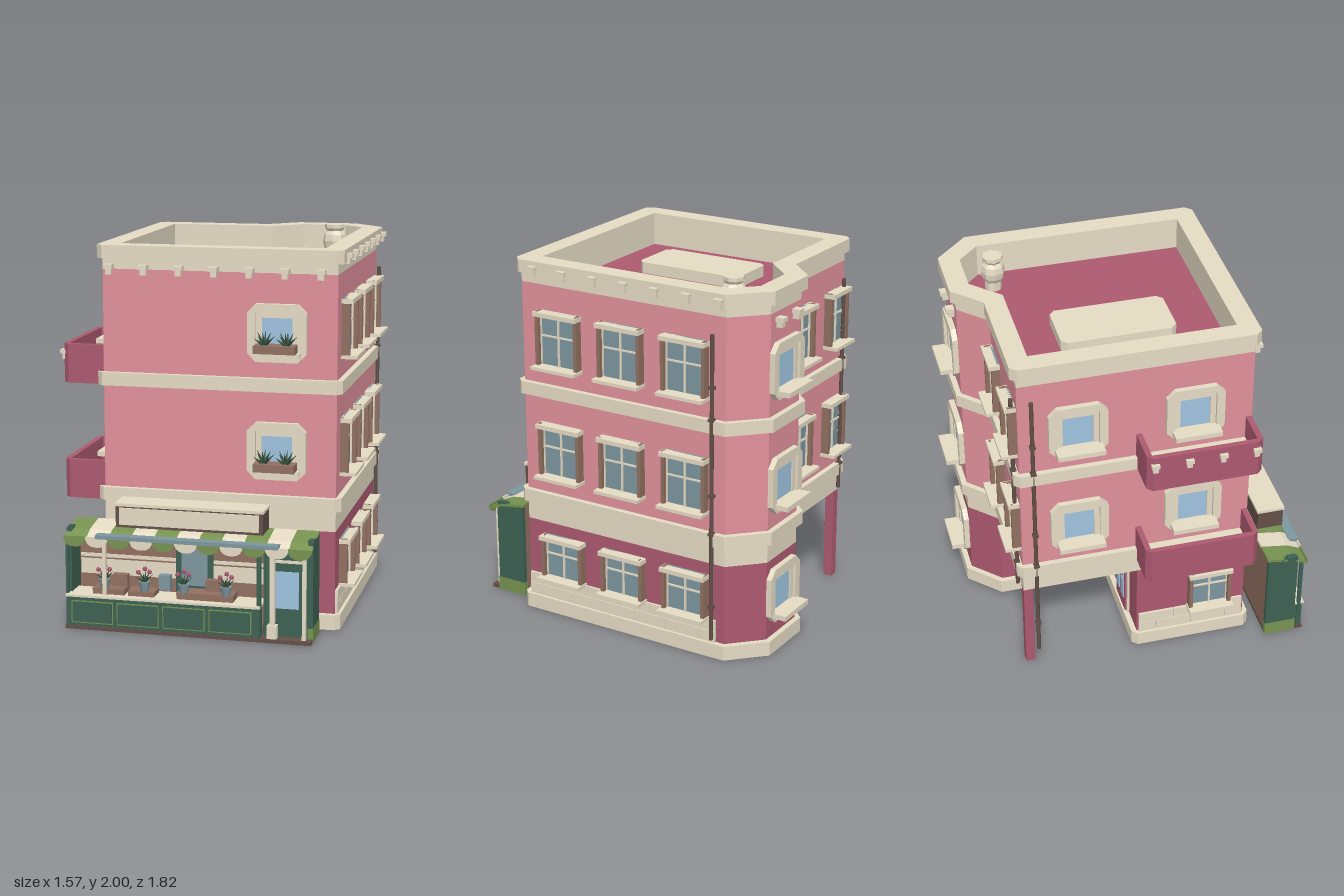
import * as THREE from 'three';

const mat = (name, color) => {
  const m = new THREE.MeshStandardMaterial({ color });
  m.name = name;
  return m;
};
const M = {
  pink: mat('pinkWall', 0xe2919c), cream: mat('creamStone', 0xe6dcc5), red: mat('darkRedWall', 0xad5a70),
  green: mat('darkGreenPaint', 0x3d6152), olive: mat('oliveGreen', 0x789351), grey: mat('greyGlass', 0x7d969f),
  sky: mat('blueGlass', 0xa0c5e0), brown: mat('brownWood', 0x917061), dark: mat('darkBrown', 0x635048),
  leaf: mat('leafGreen', 0x38543f),
};

const add = (parent, name, geo, material) => {
  const m = new THREE.Mesh(geo, material);
  m.name = name;
  parent.add(m);
  return m;
};
const group = (parent, name, x = 0, y = 0, z = 0, ry = 0) => {
  const g = new THREE.Group();
  g.name = name;
  g.position.set(x, y, z);
  g.rotation.y = ry;
  parent.add(g);
  return g;
};
const box = (p, name, m, x0, x1, y0, y1, z0, z1) =>
  add(p, name, new THREE.BoxGeometry(x1 - x0, y1 - y0, z1 - z0)
    .translate((x0 + x1) / 2, (y0 + y1) / 2, (z0 + z1) / 2), m);

// Upright prism from an [x, z] outline, with an optional hole
function prism(p, name, m, pts, y0, y1, hole) {
  const v = (a) => {
    const q = a.map(([x, z]) => new THREE.Vector2(x, -z));
    return THREE.ShapeUtils.isClockWise(q) ? q.reverse() : q;
  };
  const s = new THREE.Shape(v(pts));
  if (hole) s.holes.push(new THREE.Path(v(hole)));
  const g = new THREE.ExtrudeGeometry(s, { depth: y1 - y0, bevelEnabled: false });
  return add(p, name, g.rotateX(-Math.PI / 2).translate(0, y0, 0), m);
}
// Rectangle outline with cut corners
const cutRect = (x0, x1, z0, z1, c) => [[x0 + c, z0], [x1 - c, z0], [x1, z0 + c], [x1, z1 - c],
  [x1 - c, z1], [x0 + c, z1], [x0, z1 - c], [x0, z0 + c]];

// House outline grown by d, with front corners cut by c
const frontAndBump = (d, c) => [[0.23 - 0.41 * d, -0.81 - d], [0.54 + 0.41 * d, -0.81 - d],
  [0.7 + d, -0.65 - 0.41 * d], [0.7 + d, 0.585 + d - c], [0.7 + d - c, 0.585 + d],
  [-0.54 - d + c, 0.585 + d], [-0.54 - d, 0.585 + d - c]];
const outline = (d, c = 0.002) => [[-0.54 - d, -0.66 - d + c], [-0.54 - d + c, -0.66 - d],
  [0.08 - 0.41 * d, -0.66 - d], ...frontAndBump(d, c)];
// Ground floor outline, open at the back corner for the porch
const PORCH_Z = -0.03;
const groundOutline = (d, c = 0.002) => [[-0.54 - d, PORCH_Z - d + c], [-0.54 - d + c, PORCH_Z - d],
  [0.08 - d, PORCH_Z - d], [0.08 - d, -0.66 - 0.41 * d], ...frontAndBump(d, c)];

// Casement window facing +z, centred on its wall point
function casement(p, x, y, z, ry, w, h) {
  const g = group(p, 'casementWindow', x, y, z, ry), a = w / 2, b = h / 2;
  box(g, 'glass', M.grey, -a + 0.012, a - 0.012, -b, b, 0, 0.012);
  for (const s of [-1, 1]) {
    const c = s * (a - 0.01);
    box(g, 'frameSide', M.brown, c - 0.01, c + 0.01, -b, b, 0, 0.045);
    box(g, 'sash', M.cream, c - s * 0.012 - 0.003, c - s * 0.012 + 0.003, -b, b, 0, 0.022);
  }
  box(g, 'mullion', M.cream, -0.005, 0.005, -b, b, 0.01, 0.02);
  box(g, 'crossBar', M.cream, -a + 0.02, a - 0.02, 0.018, 0.027, 0.01, 0.02);
  box(g, 'lintel', M.cream, -a - 0.004, a + 0.004, b - 0.024, b, 0, 0.06);
  box(g, 'sill', M.cream, -a - 0.006, a + 0.006, -b, -b + 0.018, 0, 0.085);
}

// Thick picture-frame window facing +z
function framedWindow(p, x, y, z, ry, planter) {
  const g = group(p, 'framedWindow', x, y, z, ry);
  const toVec = (a) => a.map((q) => new THREE.Vector2(...q));
  const frame = (name, w, h, c, hw, h0, h1, depth) => {
    const s = new THREE.Shape(toVec(cutRect(-w / 2, w / 2, -h / 2, h / 2, c)));
    s.holes.push(new THREE.Path(toVec([[-hw, h0], [hw, h0], [hw, h1], [-hw, h1]])));
    add(g, name, new THREE.ExtrudeGeometry(s, { depth, bevelEnabled: false }), M.cream);
  };
  frame('outerFrame', 0.31, 0.3, 0.045, 0.11, -0.1, 0.105, 0.03);
  frame('innerFrame', 0.23, 0.23, 0.004, 0.08, -0.095, 0.078, 0.014);
  box(g, 'glass', M.sky, -0.085, 0.085, -0.1, 0.08, 0, 0.006);
  box(g, 'sill', M.cream, -0.125, 0.125, -0.122, -0.095, 0, planter ? 0.06 : 0.1);
  if (!planter) return;
  box(g, 'planter', M.brown, -0.108, 0.108, -0.096, -0.055, 0.01, 0.105);
  for (const px of [-0.058, 0.058]) plant(g, px, -0.062, 0.058, 0.085);
}

// Fan of pointed leaves
function plant(p, x, y, z, size) {
  const g = group(p, 'plant', x, y, z);
  for (let i = 0; i < 8; i++) {
    const leaf = add(g, 'leaf', new THREE.ConeGeometry(size * 0.13, size, 4).translate(0, size / 2, 0), M.leaf);
    leaf.rotation.set(0, i * 0.785, i % 2 ? 0.95 : 0.45);
  }
}

function pottedFlower(p, x, y, z) {
  const g = group(p, 'flowerPot', x, y, z);
  add(g, 'pot', new THREE.CylinderGeometry(0.03, 0.02, 0.06, 10).translate(0, 0.03, 0), M.grey);
  plant(g, 0, 0.055, 0, 0.065);
  for (const [a, b, c] of [[-0.03, 0.11, 0.01], [0.03, 0.115, 0.01], [0, 0.125, -0.01]])
    add(g, 'flower', new THREE.IcosahedronGeometry(0.014, 0).translate(a, b, c), M.red);
}

function drainPipe(p, x, z, y0) {
  add(p, 'drainPipe', new THREE.CylinderGeometry(0.011, 0.011, 1.765 - y0, 8).translate(x, (1.765 + y0) / 2, z), M.dark);
  for (const y of [0.28, 0.69, 0.9, 1.31, 1.48])
    if (y > y0) box(p, 'pipeClip', M.dark, x - 0.015, x + 0.015, y, y + 0.015, z - 0.015, z + 0.015);
}

// Two courses of stone blocks running along z on a side wall
function stoneCourses(p, x, z0, z1) {
  for (const [y0, y1, shift] of [[0.08, 0.1425, 0.1], [0.1455, 0.205, 0]])
    for (let z = z0 - shift; z < z1; z += 0.2) {
      const a = Math.max(z, z0), b = Math.min(z + 0.197, z1);
      if (b - a > 0.02) box(p, 'stoneBlock', M.cream, x - 0.014, x + 0.014, y0, y1, a, b);
    }
}

function kiosk(p) {
  const g = group(p, 'shopKiosk');
  box(g, 'floor', M.dark, -0.67, 0.635, 0, 0.02, 0.68, 0.9);
  box(g, 'backPanel', M.brown, -0.645, 0.61, 0.02, 0.53, 0.682, 0.7);
  box(g, 'backWallStripe', M.cream, -0.64, 0.36, 0.25, 0.36, 0.7, 0.706);
  box(g, 'backWallLine', M.brown, -0.64, 0.36, 0.335, 0.342, 0.706, 0.711);
  box(g, 'rearDoor', M.green, -0.12, 0.08, 0.18, 0.45, 0.7, 0.712);
  box(g, 'rearDoorGlass', M.grey, -0.09, 0.05, 0.22, 0.42, 0.712, 0.716);
  for (const [a, b] of [[-0.67, -0.645], [0.61, 0.635]]) {
    box(g, 'sidePanel', M.green, a, b, 0.075, 0.53, 0.68, 0.85);
    box(g, 'sidePanelFoot', M.olive, a - 0.002, b + 0.002, 0, 0.075, 0.678, 0.855);
  }
  // counter with outlined panels
  box(g, 'counter', M.green, -0.66, 0.365, 0.02, 0.175, 0.82, 0.895);
  box(g, 'counterTop', M.cream, -0.665, 0.37, 0.175, 0.187, 0.74, 0.905);
  for (let i = 0; i < 4; i++) {
    const x = -0.635 + i * 0.245;
    box(g, 'panelOutline', M.olive, x, x + 0.225, 0.035, 0.155, 0.895, 0.898);
    box(g, 'panelFace', M.green, x + 0.006, x + 0.219, 0.041, 0.149, 0.895, 0.901);
  }
  for (const [x, w, m] of [[-0.66, 0.007, M.green], [-0.46, 0.01, M.cream], [0.36, 0.011, M.green], [0.43, 0.013, M.cream], [0.595, 0.01, M.cream]])
    box(g, 'post', m, x - w, x + w, 0.02, 0.49, 0.865, 0.885);
  box(g, 'postFoot', M.cream, 0.405, 0.455, 0.02, 0.09, 0.855, 0.895);
  // shop door
  box(g, 'door', M.green, 0.375, 0.61, 0.02, 0.5, 0.815, 0.84);
  box(g, 'doorGlass', M.sky, 0.437, 0.56, 0.17, 0.365, 0.84, 0.845);
  box(g, 'doorTransom', M.cream, 0.41, 0.59, 0.41, 0.425, 0.84, 0.846);
  // goods on the counter
  for (const [a, b, h] of [[-0.53, -0.36, 0.03], [-0.34, -0.2, 0.025], [-0.08, 0.22, 0.035]])
    box(g, 'displayTray', M.brown, a, b, 0.187, 0.187 + h, 0.76, 0.86);
  for (const x of [-0.47, -0.255, -0.045, 0.18]) pottedFlower(g, x, 0.205, 0.84);
  for (const x of [-0.4, 0.1]) box(g, 'crate', M.brown, x - 0.04, x + 0.04, 0.21, 0.28, 0.76, 0.8);
  box(g, 'basket', M.grey, -0.19, -0.13, 0.21, 0.29, 0.76, 0.8);
  // striped awning with scalloped edge
  const w = 1.305 / 11;
  const prof = [[0.675, 0.53], [0.82, 0.508], [0.9, 0.475], [0.908, 0.484], [0.825, 0.522], [0.675, 0.545]];
  const stripe = new THREE.ExtrudeGeometry(new THREE.Shape(prof.map((q) => new THREE.Vector2(...q))), { depth: w, bevelEnabled: false })
    .rotateY(-Math.PI / 2).translate(w, 0, 0);
  const lip = new THREE.Shape();
  lip.moveTo(0, 0.02).lineTo(0, 0.005).quadraticCurveTo(0.01, -0.035, w / 2, -0.035)
    .quadraticCurveTo(w - 0.01, -0.035, w, 0.005).lineTo(w, 0.02);
  const scallop = new THREE.ExtrudeGeometry(lip, { depth: 0.008, bevelEnabled: false, curveSegments: 6 });
  for (let i = 0; i < 11; i++) {
    const m = i % 2 ? M.cream : M.olive, x = -0.67 + i * w;
    add(g, 'awningStripe', stripe, m).position.x = x;
    add(g, 'awningScallop', scallop, m).position.set(x, 0.482, 0.9);
  }
  box(g, 'awningRail', M.grey, -0.5, 0.465, 0.494, 0.513, 0.855, 0.911);
  for (const x of [-0.655, 0.62]) box(g, 'lamp', M.green, x - 0.015, x + 0.015, 0.49, 0.535, 0.79, 0.84);
  // blank sign box
  box(g, 'signBox', M.dark, -0.405, 0.372, 0.548, 0.662, 0.7, 0.845);
  box(g, 'signFace', M.cream, -0.385, 0.352, 0.562, 0.652, 0.845, 0.85);
  box(g, 'signTop', M.cream, -0.41, 0.377, 0.66, 0.675, 0.695, 0.852);
}

export function createModel() {
  const root = new THREE.Group();
  root.name = 'cornerHouse';

  // walls, bands and roof
  prism(root, 'plinth', M.cream, groundOutline(0.03, 0.03), 0, 0.08);
  prism(root, 'groundFloorWall', M.red, groundOutline(0), 0.08, 0.52);
  prism(root, 'groundFloorFrieze', M.cream, outline(0), 0.52, 0.63);
  prism(root, 'lowerBand', M.cream, outline(0.03, 0.03), 0.63, 0.7);
  prism(root, 'firstFloorWall', M.pink, outline(0), 0.7, 1.245);
  prism(root, 'upperBand', M.cream, outline(0.03, 0.03), 1.245, 1.315);
  prism(root, 'secondFloorWall', M.pink, outline(0), 1.315, 1.79);
  prism(root, 'roofDeck', M.red, outline(-0.075), 1.78, 1.8);
  prism(root, 'upperWall', M.pink, outline(0), 1.79, 1.855, outline(-0.07));
  prism(root, 'cornice', M.cream, outline(0), 1.855, 1.91, outline(-0.07));
  prism(root, 'parapet', M.cream, outline(0.03, 0.035), 1.91, 1.98, outline(-0.08));
  prism(root, 'parapetLining', M.cream, outline(-0.065), 1.79, 1.915, outline(-0.08));
  prism(root, 'roofHatch', M.cream, cutRect(-0.23, 0.08, -0.35, 0.265, 0.03), 1.8, 1.86);
  const pot = [[0.045, 1.8], [0.045, 1.85], [0.06, 1.875], [0.066, 1.91], [0.06, 1.945], [0.045, 1.965], [0.055, 1.98], [0.055, 2], [0, 2]];
  const potGeo = new THREE.LatheGeometry(pot.map((q) => new THREE.Vector2(...q)), 8).toNonIndexed();
  potGeo.computeVertexNormals();
  add(root, 'chimneyPot', potGeo, M.cream).position.set(0.475, 0, -0.56);

  // small brackets under the roof edge
  const bracket = (x, y, z, ry) => {
    const g = group(root, 'bracket', x, y, z, ry);
    box(g, 'bracketCap', M.cream, -0.023, 0.023, 0.03, 0.053, -0.01, 0.045);
    box(g, 'bracketStem', M.cream, -0.016, 0.016, 0, 0.03, -0.01, 0.033);
  };
  for (let i = 0; i < 7; i++) {
    bracket(-0.5 + i * 0.186, 1.828, 0.585, 0);
    bracket(0.712, 1.903, 0.488 - i * 0.186, Math.PI / 2);
  }
  for (const x of [0.3, 0.47]) bracket(x, 1.775, -0.81, Math.PI);

  // windows on every side
  for (const z of [0.347, -0.038, -0.422]) {
    casement(root, 0.7, 1.565, z, Math.PI / 2, 0.26, 0.31);
    casement(root, 0.7, 0.947, z, Math.PI / 2, 0.26, 0.305);
    casement(root, 0.7, 0.327, z, Math.PI / 2, 0.26, 0.255);
  }
  for (const y of [1.565, 0.947])
    for (const x of [-0.42, -0.04]) casement(root, x, y, -0.66, Math.PI, 0.2, 0.31);
  casement(root, -0.54, 0.327, 0.38, -Math.PI / 2, 0.24, 0.255);
  for (const y of [1.55, 0.935]) {
    framedWindow(root, 0.39, y, 0.585, 0, true);
    framedWindow(root, -0.54, y, -0.35, -Math.PI / 2);
    framedWindow(root, -0.54, y, 0.27, -Math.PI / 2);
  }
  for (const y of [1.55, 0.935, 0.32]) framedWindow(root, 0.39, y, -0.81, Math.PI);

  // stone courses and drain pipes
  stoneCourses(root, 0.7, -0.6, 0.575);
  stoneCourses(root, -0.54, PORCH_Z + 0.01, 0.575);
  drainPipe(root, 0.725, -0.585, 0.1);
  drainPipe(root, -0.56, -0.59, 0.1);
  drainPipe(root, -0.5, -0.682, 0.55);

  // open porch with corner column and door
  box(root, 'porchCeiling', M.red, -0.53, 0.08, 0.512, 0.521, -0.65, PORCH_Z);
  box(root, 'porchColumn', M.red, -0.54, -0.49, 0, 0.52, -0.66, -0.61);
  const door = group(root, 'porchDoor', -0.27, 0.08, PORCH_Z, Math.PI);
  box(door, 'doorFrame', M.cream, -0.115, 0.115, 0, 0.4, 0, 0.012);
  box(door, 'doorLeaf', M.red, -0.095, 0.095, 0, 0.38, 0, 0.02);
  for (const x of [-0.045, 0.045]) for (const y of [0.08, 0.22]) box(door, 'doorPane', M.sky, x - 0.03, x + 0.03, y, y + 0.12, 0.02, 0.025);

  // balconies
  for (const y of [0.625, 1.245]) {
    const g = group(root, 'balcony', 0, y, 0);
    const outer = [[-0.53, -0.04], [-0.735, -0.04], [-0.765, -0.01], [-0.765, 0.55], [-0.735, 0.58], [-0.53, 0.58]];
    const inner = [[-0.535, -0.01], [-0.735, -0.01], [-0.735, 0.55], [-0.535, 0.55]];
    prism(g, 'balconyWall', M.red, outer, 0, 0.207, inner);
    prism(g, 'balconyBase', M.red, inner, 0, 0.04);
    prism(g, 'balconyFloor', M.cream, inner, 0.04, 0.075);
  }
  for (const z of [0, 0.18, 0.36, 0.54]) {
    const g = group(root, 'balconyBracket', -0.755, 1.365, z, -Math.PI / 2);
    box(g, 'bracketCap', M.cream, -0.021, 0.021, 0.03, 0.052, 0, 0.03);
    box(g, 'bracketStem', M.cream, -0.014, 0.014, 0, 0.03, 0, 0.02);
  }

  kiosk(root);
  return root;
}
